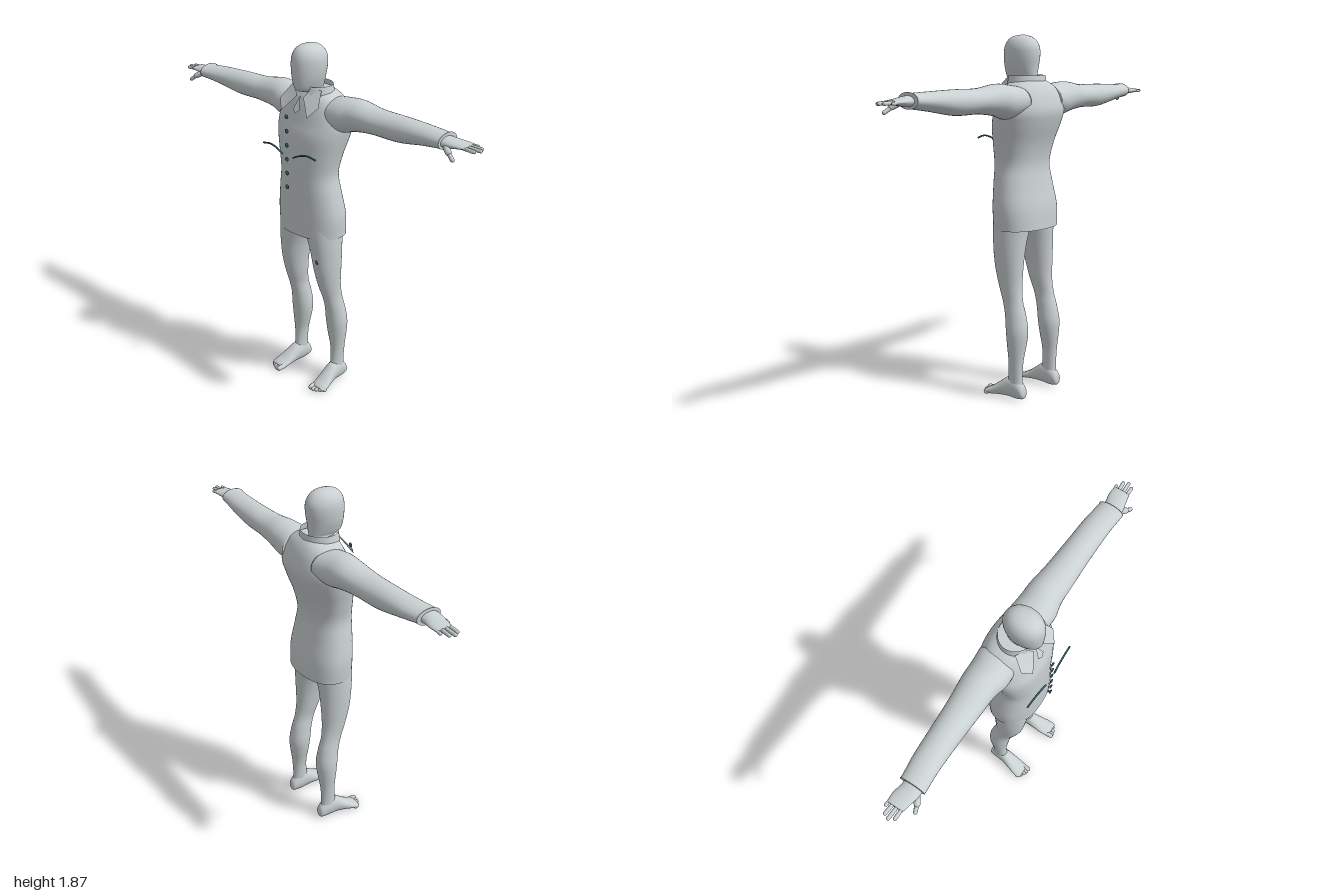
import * as THREE from 'three';
import { mergeGeometries } from 'three/addons/utils/BufferGeometryUtils.js';

const V = (x, y, z) => new THREE.Vector3(x, y, z);

// Smooth loft along an axis (0 x, 1 y, 2 z). Rows: [position, aMin, aMax, bMin, bMax],
// where a and b are the next two axes in cyclic order.
function loft(axis, rows, { seg = 36, power = 1, steps = 5, capStart = true, capEnd = true } = {}) {
  const cr = (p0, p1, p2, p3, t) => 0.5 * (2 * p1 + (p2 - p0) * t
    + (2 * p0 - 5 * p1 + 4 * p2 - p3) * t * t + (3 * p1 - p0 - 3 * p2 + p3) * t * t * t);
  const row = i => rows[Math.max(0, Math.min(rows.length - 1, i))];
  const fine = [];
  for (let i = 0; i < rows.length - 1; i++) for (let k = 0; k < steps; k++)
    fine.push(rows[0].map((_, c) => cr(row(i - 1)[c], row(i)[c], row(i + 1)[c], row(i + 2)[c], k / steps)));
  fine.push(rows[rows.length - 1]);
  const pos = [], idx = [], A = (axis + 1) % 3, B = (axis + 2) % 3;
  const put = (s, a, b) => { const p = []; p[axis] = s; p[A] = a; p[B] = b; pos.push(...p); };
  const soft = v => Math.sign(v) * Math.abs(v) ** power;
  for (const [s, a0, a1, b0, b1] of fine) for (let j = 0; j < seg; j++) {
    const t = j / seg * Math.PI * 2;
    put(s, (a0 + a1) / 2 + soft(Math.cos(t)) * (a1 - a0) / 2, (b0 + b1) / 2 + soft(Math.sin(t)) * (b1 - b0) / 2);
  }
  for (let i = 0; i < fine.length - 1; i++) for (let j = 0; j < seg; j++) {
    const a = i * seg + j, b = i * seg + (j + 1) % seg;
    idx.push(a, b, b + seg, a, b + seg, a + seg);
  }
  // end caps
  for (const [on, r, flip] of [[capStart, 0, true], [capEnd, fine.length - 1, false]]) {
    if (!on) continue;
    const [s, a0, a1, b0, b1] = fine[r], c = pos.length / 3;
    put(s, (a0 + a1) / 2, (b0 + b1) / 2);
    for (let j = 0; j < seg; j++) {
      const a = r * seg + j, b = r * seg + (j + 1) % seg;
      flip ? idx.push(c, b, a) : idx.push(c, a, b);
    }
  }
  const g = new THREE.BufferGeometry();
  g.setAttribute('position', new THREE.Float32BufferAttribute(pos, 3));
  g.setIndex(idx);
  g.computeVertexNormals();
  return g;
}

// Mirror a geometry across x = 0, keeping its faces outward
function mirrored(geo) {
  const g = geo.clone(), p = g.attributes.position, n = g.attributes.normal, ix = g.index.array;
  for (let i = 0; i < p.count; i++) { p.setX(i, -p.getX(i)); n.setX(i, -n.getX(i)); }
  for (let i = 0; i < ix.length; i += 3) [ix[i], ix[i + 1]] = [ix[i + 1], ix[i]];
  return g;
}

// Rounded digit between two points
function digit(from, to, r) {
  const d = to.clone().sub(from), len = d.length();
  const g = new THREE.CapsuleGeometry(r, Math.max(0.001, len - 2 * r), 5, 10);
  g.applyQuaternion(new THREE.Quaternion().setFromUnitVectors(V(0, 1, 0), d.normalize()));
  const m = from.clone().add(to).multiplyScalar(0.5);
  return g.translate(m.x, m.y, m.z);
}

// Thin plate made of a fan of points
function plate(points) {
  const g = new THREE.BufferGeometry().setFromPoints(points), idx = [];
  for (let i = 1; i < points.length - 1; i++) idx.push(0, i, i + 1);
  g.setIndex(idx);
  g.computeVertexNormals();
  return g;
}

export function createModel() {
  const group = new THREE.Group();
  const grey = new THREE.MeshStandardMaterial({ color: 0xc9d0d1, side: THREE.DoubleSide });
  grey.name = 'pale grey';
  const teal = new THREE.MeshStandardMaterial({ color: 0x3a6b78 });
  teal.name = 'dark teal';
  const add = (name, geo, mat = grey) => {
    const m = new THREE.Mesh(geo, mat);
    m.name = name;
    group.add(m);
    return m;
  };
  const pair = (name, geo, mat = grey) => {
    add('left' + name, geo, mat);
    add('right' + name, mirrored(geo), mat);
  };

  // Head and neck
  add('head', loft(1, [
    [1.58, -0.08, 0.035, -0.055, 0.055], [1.63, -0.076, 0.04, -0.052, 0.052],
    [1.645, -0.076, 0.09, -0.045, 0.045], [1.665, -0.077, 0.106, -0.054, 0.054],
    [1.71, -0.081, 0.113, -0.069, 0.069], [1.76, -0.088, 0.115, -0.077, 0.077],
    [1.805, -0.086, 0.111, -0.076, 0.076], [1.838, -0.068, 0.096, -0.063, 0.063],
    [1.858, -0.042, 0.07, -0.042, 0.042], [1.868, -0.008, 0.032, -0.014, 0.014],
  ]));

  // Coat body, open at the hem
  add('coat', loft(1, [
    [0.89, -0.142, 0.118, 0.193], [1.0, -0.135, 0.12, 0.197], [1.12, -0.113, 0.123, 0.179],
    [1.22, -0.102, 0.125, 0.163], [1.32, -0.12, 0.125, 0.18], [1.42, -0.155, 0.12, 0.204],
    [1.49, -0.172, 0.1, 0.212], [1.56, -0.158, 0.08, 0.19], [1.61, -0.135, 0.062, 0.15],
    [1.64, -0.11, 0.045, 0.095],
  ].map(([y, back, front, w]) => [y, back, front, -w, w]), { seg: 48, power: 0.88, capStart: false }));

  // Sleeves
  pair('Sleeve', loft(0, [
    [0.12, 1.47, 1.615, -0.15, 0.05], [0.2, 1.455, 1.627, -0.143, 0.055],
    [0.28, 1.475, 1.63, -0.138, 0.04], [0.4, 1.49, 1.613, -0.125, 0.035],
    [0.55, 1.49, 1.612, -0.115, 0.03], [0.7, 1.515, 1.607, -0.104, 0.032],
    [0.8, 1.53, 1.603, -0.09, 0.04], [0.82, 1.53, 1.608, -0.09, 0.042],
  ]));

  // Hands
  pair('Palm', loft(0, [
    [0.79, 1.54, 1.595, -0.065, 0.025], [0.84, 1.542, 1.59, -0.07, 0.028],
    [0.89, 1.55, 1.582, -0.079, 0.018], [0.935, 1.554, 1.576, -0.077, 0.008],
  ], { seg: 24 }));
  pair('Fingers', mergeGeometries([
    digit(V(0.9, 1.565, -0.066), V(0.957, 1.562, -0.073), 0.008),
    digit(V(0.9, 1.566, -0.046), V(0.99, 1.563, -0.053), 0.009),
    digit(V(0.9, 1.566, -0.024), V(1.0, 1.563, -0.029), 0.009),
    digit(V(0.9, 1.566, -0.002), V(0.985, 1.561, -0.004), 0.009),
    digit(V(0.835, 1.56, 0.012), V(0.88, 1.535, 0.04), 0.015),
    digit(V(0.865, 1.543, 0.03), V(0.908, 1.512, 0.046), 0.01),
  ]));

  // Standing collar with a front gap, two pointed flaps and a neck piece
  const collar = new THREE.CylinderGeometry(0.101, 0.112, 0.06, 40, 1, true, 0.5, Math.PI * 2 - 1);
  add('collar', collar.scale(1, 1, 0.86).translate(0, 1.638, -0.02));
  pair('CollarFlap', plate([V(0.022, 1.615, 0.078), V(0.09, 1.535, 0.122), V(0.132, 1.585, 0.085),
    V(0.1, 1.655, 0.03), V(0.05, 1.655, 0.06)]));
  add('neckPiece', plate([V(0, 1.62, 0.075), V(-0.022, 1.555, 0.105), V(0, 1.54, 0.112), V(0.022, 1.555, 0.105)]));

  // Buttons in front of the coat
  for (let i = 0; i < 6; i++) {
    const button = add('button' + (i + 1), new THREE.SphereGeometry(0.012, 16, 10).scale(1, 1, 0.4), teal);
    button.position.set(0, 1.534 - i * 0.073, 0.17);
  }

  // Chest trim lines
  const trim = new THREE.CatmullRomCurve3([V(0.036, 1.33, 0.162), V(0.08, 1.35, 0.16),
    V(0.13, 1.361, 0.158), V(0.187, 1.352, 0.154)]);
  pair('ChestTrim', new THREE.TubeGeometry(trim, 20, 0.0045, 6), teal);

  // Hips under the coat
  add('hips', loft(1, [
    [0.885, -0.06, 0.05, -0.06, 0.06], [0.92, -0.11, 0.09, -0.16, 0.16], [1.02, -0.11, 0.1, -0.17, 0.17],
  ]));

  // Legs
  pair('Leg', loft(1, [
    [0.96, -0.1, 0.1, 0.002, 0.186], [0.89, -0.095, 0.1, 0.008, 0.188],
    [0.8, -0.087, 0.092, 0.035, 0.188], [0.7, -0.082, 0.08, 0.055, 0.183],
    [0.6, -0.08, 0.055, 0.07, 0.175], [0.52, -0.09, 0.027, 0.083, 0.171],
    [0.45, -0.108, 0.007, 0.079, 0.178], [0.37, -0.122, -0.004, 0.074, 0.187],
    [0.3, -0.118, -0.012, 0.082, 0.185], [0.2, -0.105, -0.022, 0.104, 0.175],
    [0.11, -0.102, -0.018, 0.11, 0.17], [0.05, -0.108, 0.0, 0.108, 0.172],
  ].reverse()));

  // Feet and toes, turned slightly outward
  pair('Foot', loft(2, [
    [-0.122, 0.128, 0.152, 0.02, 0.045], [-0.112, 0.113, 0.167, 0.006, 0.075],
    [-0.07, 0.106, 0.174, 0.0, 0.115], [-0.02, 0.105, 0.18, 0.003, 0.112],
    [0.03, 0.106, 0.192, 0.003, 0.078], [0.07, 0.108, 0.202, 0.0, 0.05],
    [0.1, 0.112, 0.204, 0.0, 0.034], [0.115, 0.122, 0.196, 0.006, 0.024],
  ], { seg: 28 }));
  pair('Toes', mergeGeometries([0, 1, 2, 3, 4].map(i => {
    const r = i === 0 ? 0.014 : 0.0105, x = 0.124 + i * 0.0175;
    return digit(V(x, r + 0.003, 0.08), V(x + 0.004, r, 0.143 - i * i * 0.0022), r);
  })));

  // Small mark on the left thigh
  const mark = add('thighMark', new THREE.TorusGeometry(0.008, 0.002, 6, 14).scale(0.7, 1.3, 1), teal);
  mark.position.set(0.128, 0.76, 0.09);
  mark.rotation.z = 0.5;

  return group;
}
